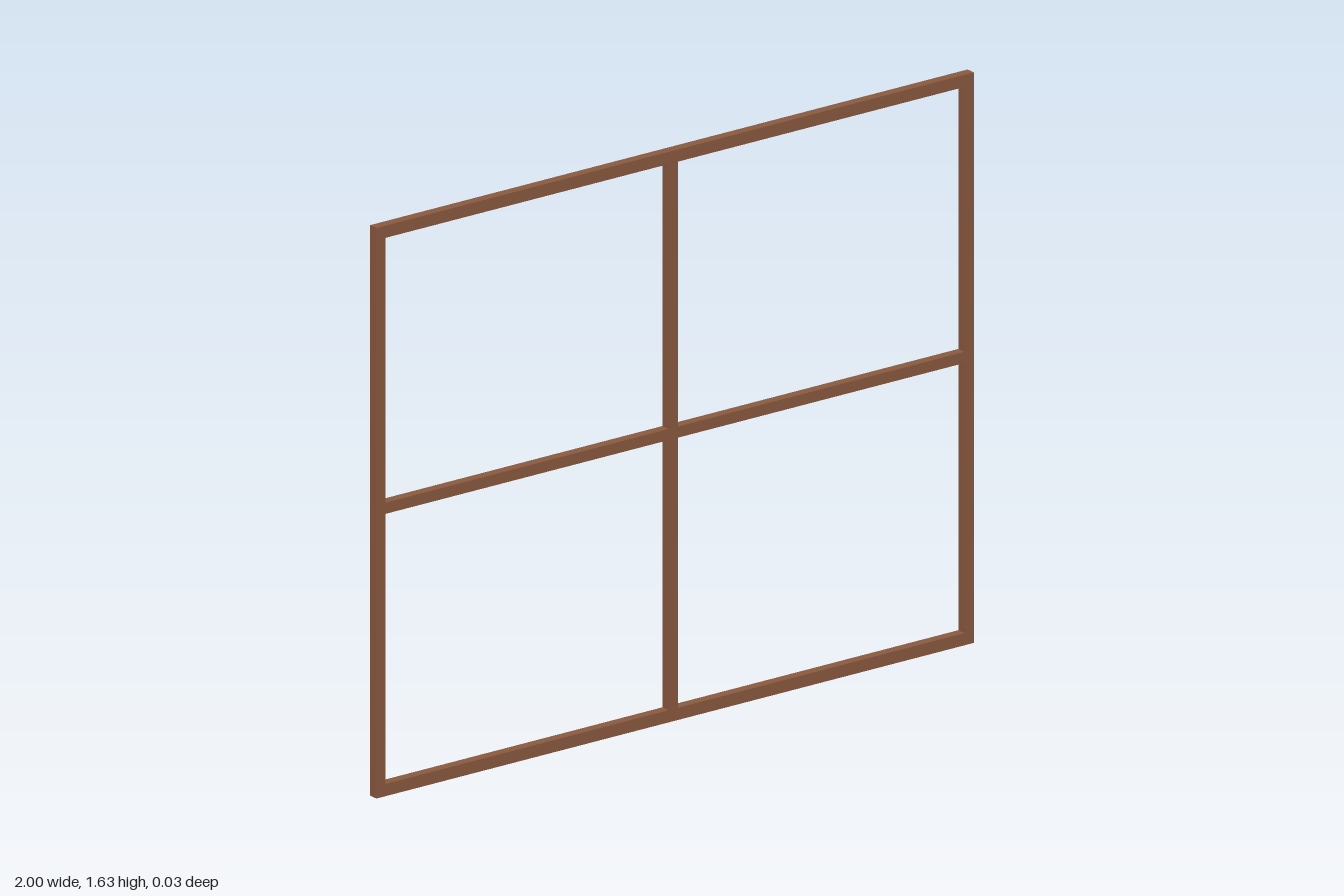
import * as THREE from 'three';

export function createModel() {
  const group = new THREE.Group();
  const wood = new THREE.MeshStandardMaterial({ color: 0x8b5a40 });
  wood.name = 'brown wood';

  const height = 1.635, rail = 0.035, post = 0.031, bar = 0.032, depth = 0.028;

  function addBar(name, width, tall, x, y) {
    const mesh = new THREE.Mesh(new THREE.BoxGeometry(width, tall, depth), wood);
    mesh.name = name;
    mesh.position.set(x, y, 0);
    group.add(mesh);
  }

  // Outer frame: full-width rails with posts fitted between them
  addBar('bottomRail', 2, rail, 0, rail / 2);
  addBar('topRail', 2, rail, 0, height - rail / 2);
  for (const side of [1, -1]) {
    addBar(side > 0 ? 'leftPost' : 'rightPost', post, height - 2 * rail, side * (1 - post / 2), height / 2);
  }

  // Crossing bars: one horizontal, and an upright split above and below it
  const midY = 0.825, midX = -0.006;
  addBar('middleRail', 2 - 2 * post, bar, 0, midY);
  const spans = { lowerMullion: [rail, midY - bar / 2], upperMullion: [midY + bar / 2, height - rail] };
  for (const [name, [from, to]] of Object.entries(spans)) {
    addBar(name, bar, to - from, midX, (from + to) / 2);
  }

  return group;
}
